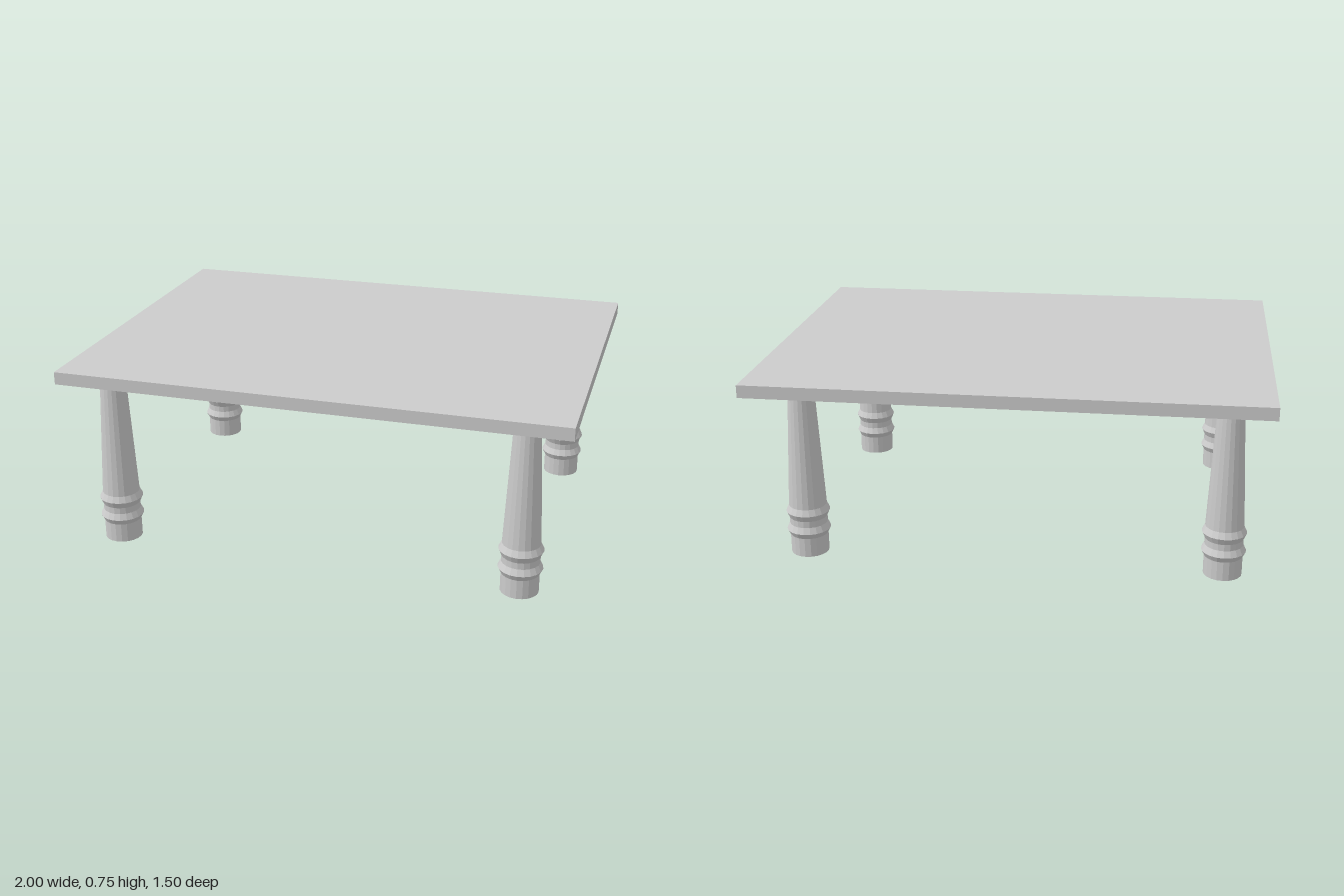
import * as THREE from 'three';

export function createModel() {
  const table = new THREE.Group();
  table.name = 'table';
  const material = new THREE.MeshStandardMaterial({ color: 0xcccccc, flatShading: true });

  // Flat rectangular slab
  const thickness = 0.05, height = 0.755;
  const top = new THREE.Mesh(new THREE.BoxGeometry(2, thickness, 1.5), material);
  top.name = 'tableTop';
  top.position.y = height - thickness / 2;
  table.add(top);

  // Turned leg: straight foot, two beads, tapered shaft; closed at both ends
  const profile = [
    [0, 0], [0.075, 0], [0.075, 0.078], [0.087, 0.101], [0.075, 0.126],
    [0.075, 0.152], [0.087, 0.178], [0.075, 0.203], [0.05, 0.705], [0, 0.705],
  ].map(([r, y]) => new THREE.Vector2(r, y));
  const legGeometry = new THREE.LatheGeometry(profile, 20);

  const legs = {
    frontLeftLeg: [0.813, 0.589],
    frontRightLeg: [-0.837, 0.586],
    backLeftLeg: [0.813, -0.555],
    backRightLeg: [-0.837, -0.555],
  };
  for (const [name, [x, z]] of Object.entries(legs)) {
    const leg = new THREE.Mesh(legGeometry, material);
    leg.name = name;
    leg.position.set(x, 0, z);
    table.add(leg);
  }
  return table;
}
